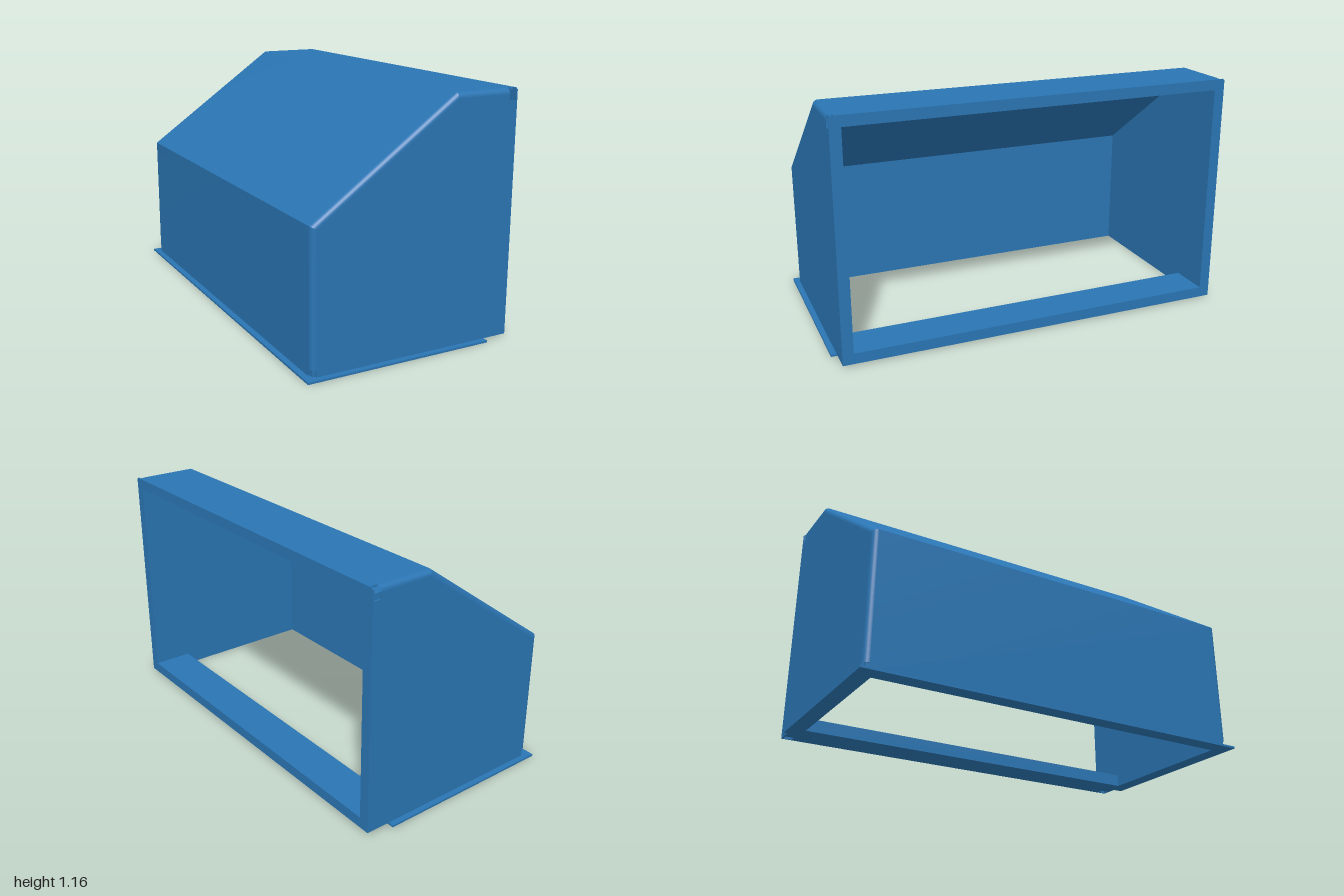
import * as THREE from 'three';
import { toCreasedNormals } from 'three/addons/utils/BufferGeometryUtils.js';

const HALF = 0.973;      // half width of the hood
const BEND = 0.025;      // bend radius at the sides
const SHEET = 0.008;     // sheet thickness
const PANEL = 0.052;     // thickness of the hollow panels
const INNER_HALF = 0.92; // half width of the inside
const NOTCH = 0.48;      // where the corner relief begins
const FRONT = 0.522;
const BASE = 0.01;

export function createModel() {
  const group = new THREE.Group();
  const material = new THREE.MeshStandardMaterial({ color: 0x2a75b3, side: THREE.DoubleSide });
  const add = (name, geometry, x = 0, y = 0, z = 0) => {
    const mesh = new THREE.Mesh(geometry, material);
    mesh.name = name;
    mesh.position.set(x, y, z);
    group.add(mesh);
  };
  const box = (name, x0, x1, y0, y1, z0, z1) => add(
    name, new THREE.BoxGeometry(x1 - x0, y1 - y0, z1 - z0), (x0 + x1) / 2, (y0 + y1) / 2, (z0 + z1) / 2);
  const vectors = (list) => list.map(([x, y]) => new THREE.Vector2(x, y));
  const plate = (shape, depth) => new THREE.ExtrudeGeometry(shape, { depth, bevelEnabled: false });
  const rectangle = (Type, x0, y0, x1, y1) => new Type(vectors([[x0, y0], [x1, y0], [x1, y1], [x0, y1]]));

  // Hood outline (back, slope, top) moved inward by d
  const outline = (d, endX = FRONT, startY = BASE) => [
    [-0.496 + d, startY],
    [-0.496 + d, 0.667 - 0.518 * d],
    [0.205 + 0.318 * d, 1.162 - d],
    [endX, 1.162 - d],
  ];

  // Sweep the outline across the width through a list of layers
  const sweep = (layers) => {
    const positions = [], index = [];
    layers.forEach(({ z, d, endX, startY }, i) => {
      outline(d, endX, startY).forEach(([x, y]) => positions.push(x, y, z));
      if (i === layers.length - 1) return;
      for (let j = 0; j < 3; j++) {
        const a = i * 4 + j, b = a + 4;
        index.push(a, a + 1, b, a + 1, b + 1, b);
      }
    });
    const geometry = new THREE.BufferGeometry();
    geometry.setAttribute('position', new THREE.Float32BufferAttribute(positions, 3));
    geometry.setIndex(index);
    return toCreasedNormals(geometry, 0.2);
  };

  // Outer skin: rounded bends at both sides, cut away at the corner reliefs
  const steps = 10, bend = [];
  for (let k = 0; k <= steps; k++) {
    const a = (k / steps) * Math.PI / 2;
    bend.push({
      z: HALF - BEND * (1 - Math.cos(a)), d: BEND * (1 - Math.sin(a)), endX: NOTCH, startY: 0.042,
    });
  }
  bend.push({ z: HALF - BEND, d: 0 });
  add('outerSkin', sweep([...bend, ...bend.slice().reverse().map((l) => ({ ...l, z: -l.z }))]));

  // Inner skin with sharp corners
  add('innerSkin', sweep([{ z: INNER_HALF, d: PANEL }, { z: -INNER_HALF, d: PANEL }]));

  // Side walls: outer sheet with a notch at the upper front corner, plain inner sheet
  const outerSide = plate(new THREE.Shape(vectors([
    ...outline(BEND, NOTCH), [NOTCH, 1.105], [FRONT, 1.105], [FRONT, BASE],
  ])), SHEET);
  const innerSide = plate(new THREE.Shape(vectors([...outline(PANEL), [FRONT, BASE]])), 0.004);
  add('leftOuterWall', outerSide, 0, 0, HALF - SHEET);
  add('rightOuterWall', outerSide, 0, 0, -HALF);
  add('leftInnerWall', innerSide, 0, 0, INNER_HALF);
  add('rightInnerWall', innerSide, 0, 0, -INNER_HALF - 0.004);

  // Sheet edges that show at the notch
  box('topSheetEdge', NOTCH, FRONT, 1.151, 1.161, -HALF + BEND, HALF - BEND);
  box('ceilingSheetEdge', NOTCH, FRONT, 1.1105, 1.116, -INNER_HALF, INNER_HALF);

  // Frame around the open end
  const c = 0.008, top = 1.162;
  const frame = new THREE.Shape(vectors([
    [-HALF, BASE], [HALF, BASE], [HALF, top - c], [HALF - c, top], [-HALF + c, top], [-HALF, top - c],
  ]));
  frame.holes.push(rectangle(THREE.Path, -INNER_HALF, 0.062, INNER_HALF, top - PANEL));
  add('openingFrame', plate(frame, 0.006).rotateY(Math.PI / 2), FRONT - 0.006);

  // Mounting flange ring under the hood
  const ring = rectangle(THREE.Shape, -0.525, -1, 0.4, 1);
  ring.holes.push(rectangle(THREE.Path, -0.444, -INNER_HALF, 0.32, INNER_HALF));
  add('baseFlange', plate(ring, BASE).rotateX(-Math.PI / 2));

  // Floor panel behind the frame, and the sheet that closes the wall bottoms
  box('floorPanel', 0.32, FRONT - 0.001, BASE, 0.062, -INNER_HALF, INNER_HALF);
  box('bottomSheet', 0.32, NOTCH, BASE, BASE + SHEET, -HALF + 0.002, HALF - 0.002);

  // Tabs behind the reliefs at the lower back corners
  for (const s of [1, -1]) {
    box('cornerTab', -0.486, -0.444, BASE, 0.042, s * 0.942 - 0.021, s * 0.942 + 0.021);
  }
  return group;
}
